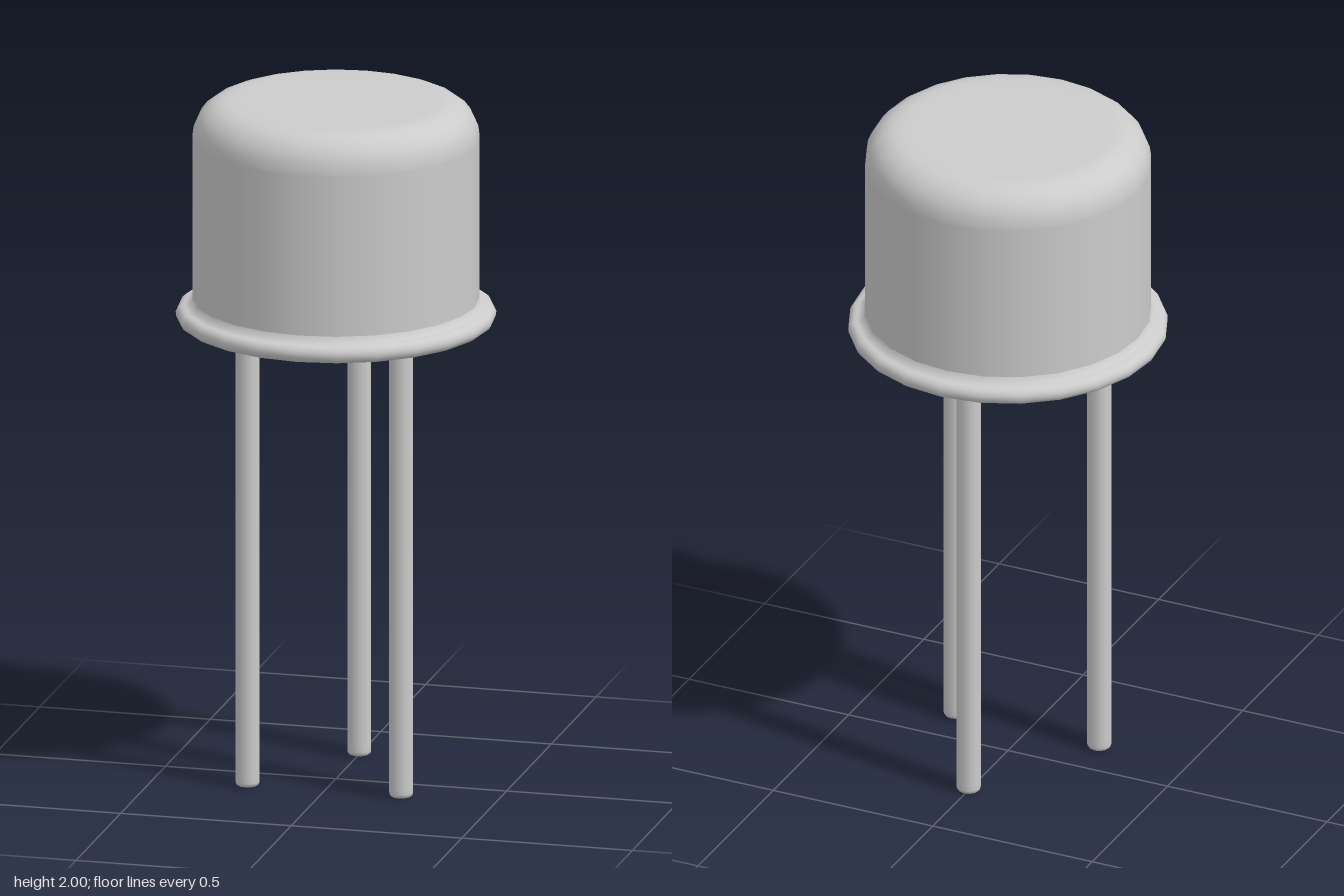
import * as THREE from 'three';

const material = new THREE.MeshStandardMaterial({ color: 0xcccccc });

// Turns [radius, height] points (listed bottom to top) around the y axis
function lathe(name, points, sides) {
  const profile = points.map(([r, y]) => new THREE.Vector2(r, y));
  const mesh = new THREE.Mesh(new THREE.LatheGeometry(profile, sides), material);
  mesh.name = name;
  return mesh;
}

// Points of a rounded edge between two angles
function arc(cx, cy, radius, from, to, steps) {
  return Array.from({ length: steps + 1 }, (_, i) => {
    const a = from + (to - from) * i / steps;
    return [cx + radius * Math.cos(a), cy + radius * Math.sin(a)];
  });
}

export function createModel() {
  const model = new THREE.Group();
  model.name = 'threeLeadMetalCan';
  const half = Math.PI / 2;

  // Can: straight wall, rounded shoulder and flat top
  model.add(lathe('can', [
    [0.407, 1.39], [0.407, 1.42], [0.407, 1.89],
    ...arc(0.307, 1.9, 0.1, 0, half, 6),
    [0.28, 2], [0, 2],
  ], 24));

  // Flange: rolled rim around the foot of the can
  model.add(lathe('flange', [
    [0.435, 1.35],
    ...arc(0.43, 1.375, 0.025, -1.2, half, 6),
    [0.415, 1.403], [0.407, 1.42],
  ], 24));

  // Flat underside
  model.add(lathe('base', [[0, 1.35], [0.435, 1.35]], 24));

  // Three leads on a circle, with softened tips
  for (let i = 0; i < 3; i++) {
    const angle = -half + i * Math.PI * 2 / 3;
    const lead = lathe(`lead${i + 1}`, [
      [0, 0], [0.022, 0],
      ...arc(0.022, 0.013, 0.013, -half * 0.67, 0, 2),
      [0.035, 0.03], [0.035, 1.36],
    ], 12);
    lead.position.set(0.26 * Math.cos(angle), 0, 0.26 * Math.sin(angle));
    model.add(lead);
  }
  return model;
}
